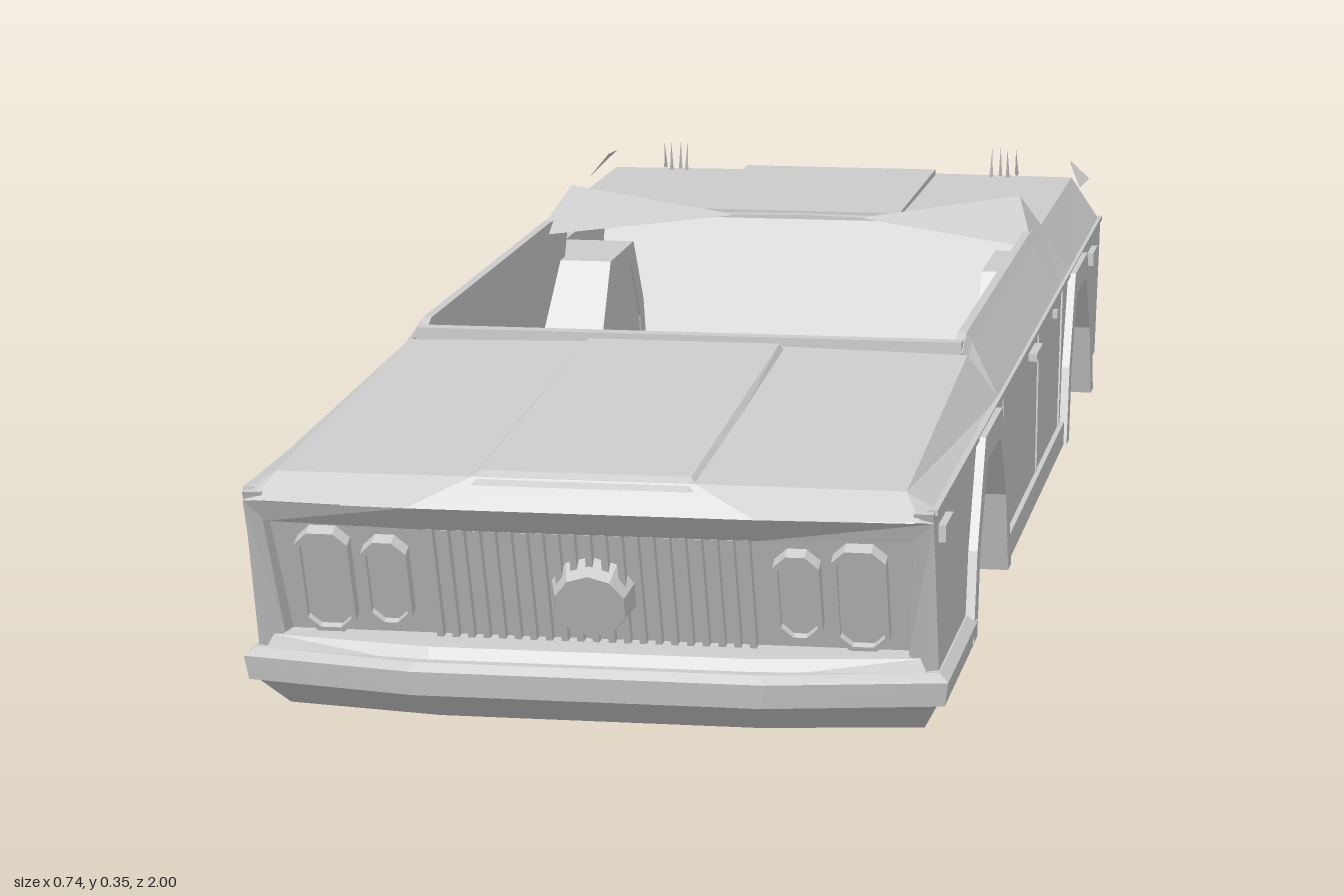
import * as THREE from 'three';
import { ConvexGeometry } from 'three/addons/geometries/ConvexGeometry.js';

const solid = new THREE.MeshStandardMaterial({ color: 0xcccccc, flatShading: true });
const sheet = new THREE.MeshStandardMaterial({ color: 0xcccccc, flatShading: true, side: THREE.DoubleSide });

export function createModel() {
  const car = new THREE.Group();
  car.name = 'openCarBody';

  const add = (name, geo, parent = car, mat = solid) => {
    const m = new THREE.Mesh(geo, mat);
    m.name = name;
    parent.add(m);
    return m;
  };
  // box given by its min and max on each axis
  const box = (name, x0, x1, y0, y1, z0, z1, parent = car) => {
    const g = new THREE.BoxGeometry(x1 - x0, y1 - y0, z1 - z0);
    g.translate((x0 + x1) / 2, (y0 + y1) / 2, (z0 + z1) / 2);
    return add(name, g, parent);
  };
  const boxPair = (name, x0, x1, ...rest) => {
    box(name + 'Left', x0, x1, ...rest);
    box(name + 'Right', -x1, -x0, ...rest);
  };
  const shapeOf = (pts) => new THREE.Shape(pts.map((p) => new THREE.Vector2(...p)));
  // (z, y) outline pushed out between xi and xo on both sides
  const sidePair = (name, pts, xi, xo) => {
    for (const s of [1, -1]) {
      const g = new THREE.ExtrudeGeometry(shapeOf(pts), { depth: xo - xi, bevelEnabled: false });
      g.rotateY(-Math.PI / 2);
      g.translate(s > 0 ? xo : -xi, 0, 0);
      add(name + (s > 0 ? 'Left' : 'Right'), g);
    }
  };
  // sheet skinned across rows of [x, y, z] points
  const loft = (name, rows) => {
    const p = [];
    for (let i = 0; i < rows.length - 1; i++) {
      for (let j = 0; j < rows[i].length - 1; j++) {
        const [a, b, c, d] = [rows[i][j], rows[i][j + 1], rows[i + 1][j + 1], rows[i + 1][j]];
        p.push(...a, ...b, ...c, ...a, ...c, ...d);
      }
    }
    const g = new THREE.BufferGeometry();
    g.setAttribute('position', new THREE.Float32BufferAttribute(p, 3));
    g.computeVertexNormals();
    return add(name, g, car, sheet);
  };
  const mirrorRow = (half) => [...half, ...half.map(([x, y, z]) => [-x, y, z]).reverse()];
  const hull = (name, pts) => add(name, new ConvexGeometry(pts.map((p) => new THREE.Vector3(...p))));

  // wheel arch outlines (z, y); the rear ones are the front ones moved back
  const outer = [[0.675, 0.045], [0.645, 0.14], [0.57, 0.25], [0.4, 0.25], [0.325, 0.16], [0.285, 0.045]];
  const inner = [[0.64, 0.045], [0.615, 0.135], [0.548, 0.22], [0.415, 0.22], [0.35, 0.14], [0.318, 0.045]];
  const back = (pts) => pts.map(([z, y]) => [z - 1.08, y]);

  // side panels with the arches cut out
  const cut = (pts) => pts.map(([z, y]) => [z, Math.max(y, 0.07)]);
  sidePair('sidePanel', [[0.97, 0.25], [0.955, 0.215], [0.91, 0.07], ...cut(inner), ...cut(back(inner)),
    [-0.93, 0.07], [-1, 0.25]], 0.338, 0.358);

  // arches, wells and axles
  for (const [n, f] of [['front', (p) => p], ['rear', back]]) {
    const o = f(outer), i = f(inner);
    sidePair(n + 'WheelArch', [...o, ...[...i].reverse()], 0.245, 0.368);
    sidePair(n + 'WheelWell', i, 0.247, 0.255);
    const axle = new THREE.CylinderGeometry(0.036, 0.036, 0.68, 6);
    axle.rotateZ(Math.PI / 2);
    axle.translate(0, 0.056, n === 'front' ? 0.48 : -0.58);
    add(n + 'Axle', axle);
  }

  // floor and sills
  box('floorCentre', -0.25, 0.25, 0.062, 0.074, -0.93, 0.91);
  boxPair('floorSide', 0.25, 0.34, 0.062, 0.074, -0.41, 0.3);
  boxPair('floorNose', 0.25, 0.34, 0.062, 0.074, 0.66, 0.91);
  boxPair('floorTail', 0.25, 0.34, 0.062, 0.074, -0.93, -0.79);
  boxPair('sill', 0.325, 0.364, 0.045, 0.074, -0.41, 0.3);

  // hood with its sloping front lip and raised middle
  loft('hood', [
    mirrorRow([[0.358, 0.25, 0.345], [0.322, 0.298, 0.345], [0.115, 0.302, 0.345]]),
    mirrorRow([[0.358, 0.25, 0.945], [0.328, 0.268, 0.945], [0.115, 0.275, 0.975]]),
    mirrorRow([[0.358, 0.24, 0.968], [0.345, 0.242, 0.972], [0.18, 0.245, 1]]),
  ]);
  hull('hoodBulge', [-1, 1].flatMap((s) => [
    [s * 0.122, 0.29, 0.36], [s * 0.11, 0.308, 0.36], [s * 0.122, 0.268, 0.975], [s * 0.11, 0.28, 0.965],
    [s * 0.11, 0.268, 0.985]]));
  box('cowl', -0.315, 0.315, 0.293, 0.312, 0.325, 0.345);

  // door tops, folding over into the cabin lining
  for (const s of [1, -1]) {
    const row = (z, y) => [[0.358, 0.25, z], [0.322, y - 0.01, z], [0.316, y, z], [0.306, y, z],
      [0.312, 0.25, z], [0.336, 0.07, z]].map(([x, h, d]) => [s * x, h, d]);
    loft(s > 0 ? 'doorTopLeft' : 'doorTopRight',
      [row(0.345, 0.3), row(0.3, 0.316), row(-0.1, 0.316), row(-0.4, 0.316), row(-0.54, 0.312)]);
  }

  // trunk deck
  loft('trunkDeck', [
    mirrorRow([[0.358, 0.25, -0.53], [0.32, 0.31, -0.51], [0, 0.314, -0.54]]),
    mirrorRow([[0.358, 0.25, -0.97], [0.32, 0.308, -0.965], [0, 0.31, -0.965]]),
    mirrorRow([[0.358, 0.25, -1], [0.325, 0.25, -0.99], [0, 0.25, -0.988]]),
  ]);
  box('trunkLid', -0.132, 0.132, 0.306, 0.317, -0.95, -0.552);

  // window corner wedges, tail wing tips and upright spikes
  for (const s of [1, -1]) {
    loft('rearWindowCorner', [
      [[s * 0.09, 0.314, -0.535], [s * 0.295, 0.352, -0.5]],
      [[s * 0.09, 0.312, -0.53], [s * 0.322, 0.3, -0.4]]]);
    loft('windowCornerBase', [
      [[s * 0.295, 0.352, -0.5], [s * 0.322, 0.3, -0.4]],
      [[s * 0.32, 0.31, -0.53], [s * 0.322, 0.3, -0.41]]]);
    loft('tailWingTip', [
      [[s * 0.318, 0.333, -0.96], [s * 0.345, 0.308, -0.96]],
      [[s * 0.323, 0.333, -0.92], [s * 0.34, 0.308, -0.87]]]);
    for (let i = 0; i < 4; i++) {
      const spike = new THREE.ConeGeometry(0.003, 0.04, 3);
      spike.rotateX((i - 1.5) * 0.2);
      spike.translate(s * (0.213 + i * 0.011), 0.332, -0.925 - (i % 2) * 0.012);
      add('spike', spike);
    }
  }

  // nose surround from the hood lip to the grille, then bumper and valance
  loft('noseSurroundTop', [
    mirrorRow([[0.358, 0.24, 0.968], [0.18, 0.245, 1]]),
    mirrorRow([[0.335, 0.218, 0.96], [0.18, 0.218, 0.975]]),
    mirrorRow([[0.335, 0.218, 0.945], [0.18, 0.218, 0.945]]),
  ]);
  for (const s of [1, -1]) {
    loft('noseSurroundSide', [
      [[s * 0.358, 0.24, 0.968], [s * 0.352, 0.07, 0.912]],
      [[s * 0.338, 0.22, 0.965], [s * 0.328, 0.09, 0.918]],
      [[s * 0.335, 0.22, 0.945], [s * 0.325, 0.09, 0.892]]]);
  }
  hull('noseSurroundBottom', [-1, 1].flatMap((s) => [
    [s * 0.35, 0.068, 0.88], [s * 0.35, 0.068, 0.925], [s * 0.34, 0.09, 0.89], [s * 0.34, 0.088, 0.92],
    [s * 0.17, 0.068, 0.95], [s * 0.17, 0.086, 0.94]]));
  const plan = (y, w, z0, z1, z2) => [-1, 1].flatMap((s) => [[s * w, y, z0], [s * w, y, z1], [s * w * 0.5, y, z2]]);
  hull('frontBumper', [...plan(0.04, 0.366, 0.66, 0.925, 0.965), ...plan(0.066, 0.37, 0.65, 0.93, 0.97),
    ...plan(0.074, 0.36, 0.66, 0.92, 0.96)]);
  hull('frontValance', [...plan(0.04, 0.358, 0.68, 0.92, 0.955), ...plan(0, 0.338, 0.7, 0.86, 0.89)]);

  // grille leaning forward at the top
  const grille = new THREE.Group();
  grille.name = 'grille';
  grille.position.set(0, 0.155, 0.921);
  grille.rotation.x = 0.4;
  car.add(grille);
  box('grillePanel', -0.337, 0.337, -0.078, 0.074, -0.012, 0, grille);
  for (let i = -10; i <= 10; i++) {
    box('grilleBar', i * 0.0165 - 0.0035, i * 0.0165 + 0.0035, -0.07, 0.069, 0, 0.012, grille);
  }
  const oct = (w, h, c) => [[w - c, -h], [w, -h + c], [w, h - c], [w - c, h], [c - w, h], [-w, h - c], [-w, c - h], [c - w, -h]];
  for (const [x, w, h] of [[0.28, 0.028, 0.062], [0.215, 0.024, 0.053]]) {
    for (const s of [1, -1]) {
      const rim = shapeOf(oct(w, h, 0.014));
      rim.holes.push(new THREE.Path(oct(w - 0.005, h - 0.005, 0.012).map((p) => new THREE.Vector2(...p))));
      const g = new THREE.ExtrudeGeometry(rim, { depth: 0.016, bevelEnabled: false });
      add('headlightRim', g.translate(s * x, 0, 0), grille);
      const lens = new THREE.ExtrudeGeometry(shapeOf(oct(w - 0.005, h - 0.005, 0.012)), { depth: 0.008, bevelEnabled: false });
      add('headlightLens', lens.translate(s * x, 0, 0), grille);
    }
  }
  const disc = new THREE.CylinderGeometry(0.038, 0.046, 0.026, 10);
  disc.rotateX(Math.PI / 2);
  add('grilleDisc', disc.translate(0, -0.012, 0.012), grille);

  // tail panel leaning back at the top, with lights, plate recess and bars
  const tail = new THREE.Group();
  tail.name = 'tailPanel';
  tail.position.set(0, 0.16, -0.957);
  tail.rotation.set(-0.36, 0, 0);
  car.add(tail);
  box('tailSheet', -0.34, 0.34, -0.097, 0.096, 0, 0.012, tail);
  const frame = (name, x, y, w, h) => {
    for (const s of [1, -1]) {
      box(name + 'Rail', x - w, x + w, y + s * h - 0.003, y + s * h + 0.003, -0.008, 0, tail);
      box(name + 'Post', x + s * w - 0.003, x + s * w + 0.003, y - h, y + h, -0.008, 0, tail);
    }
  };
  frame('plateFrame', 0, -0.01, 0.125, 0.04);
  for (const s of [1, -1]) {
    frame('tailLight', s * 0.24, 0.045, 0.085, 0.038);
    box('tailLens', s * 0.235 - 0.035, s * 0.235 + 0.035, 0.012, 0.078, -0.005, 0, tail);
    for (const y of [-0.018, -0.045]) box('tailBar', s * 0.24 - 0.085, s * 0.24 + 0.085, y - 0.006, y + 0.006, -0.008, 0, tail);
  }

  // side trim: crease, markers, handles and door seams
  boxPair('sideCrease', 0.35, 0.361, 0.246, 0.252, -0.99, 0.955);
  boxPair('frontMarker', 0.355, 0.366, 0.212, 0.23, 0.86, 0.925);
  boxPair('rearMarker', 0.355, 0.366, 0.212, 0.23, -0.865, -0.8);
  boxPair('doorHandle', 0.355, 0.368, 0.229, 0.238, -0.07, 0.005);
  boxPair('fillerCap', 0.355, 0.364, 0.228, 0.238, -0.31, -0.3);
  const seam = (z0, y0, z1, y1) => sidePair('doorSeam',
    [[z0, y0], [z1, y1], [z1 - 0.006, y1], [z0 - 0.006, y0]], 0.35, 0.36);
  seam(0.27, 0.07, 0.312, 0.25);
  seam(-0.09, 0.07, -0.105, 0.25);
  seam(-0.375, 0.07, -0.415, 0.25);

  return car;
}
